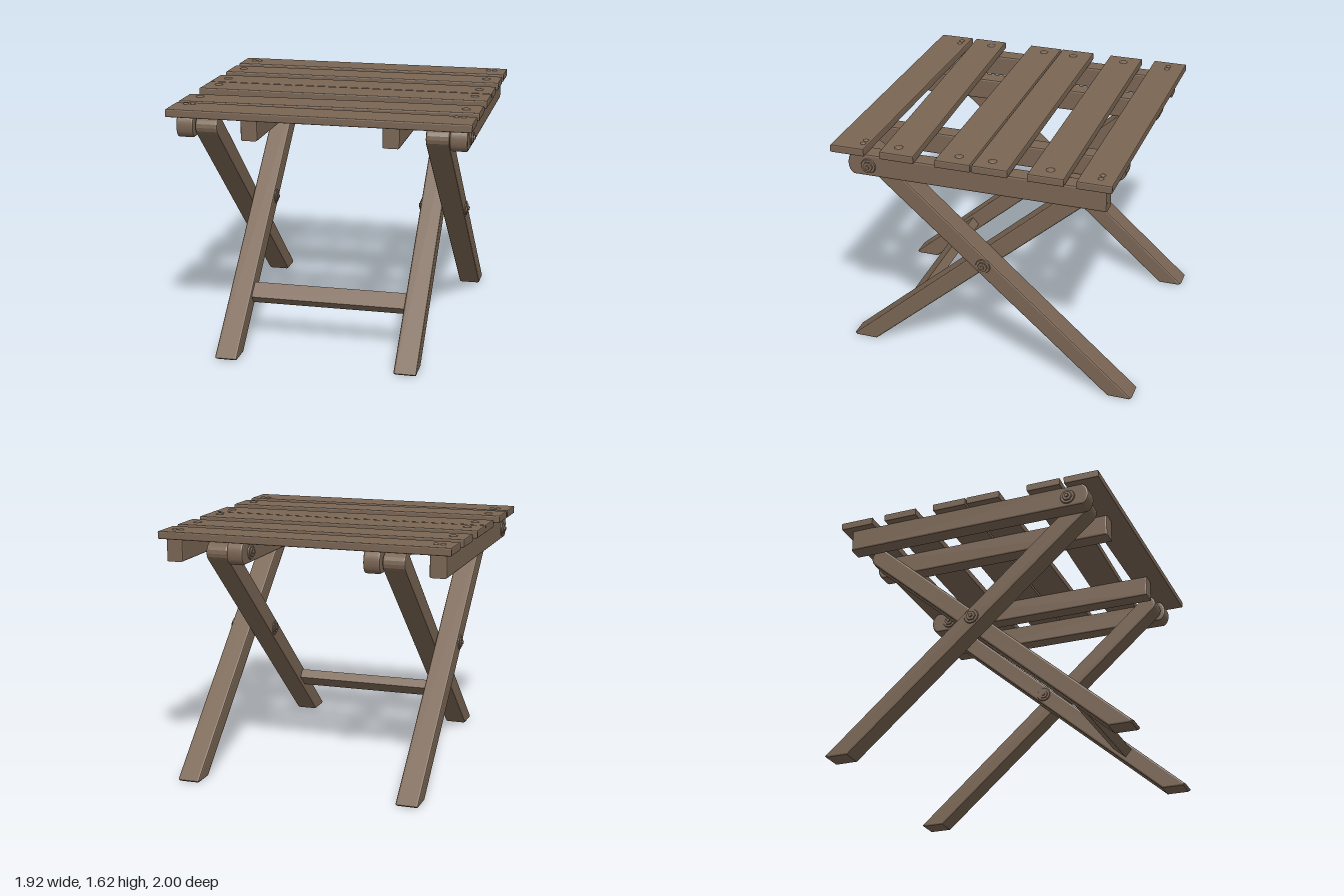
import * as THREE from 'three';

export function createModel() {
  const stool = new THREE.Group();
  stool.name = 'foldingStool';
  const wood = new THREE.MeshStandardMaterial({ color: 0x796553 });
  wood.name = 'brownWood';

  const add = (geometry, name) => {
    const mesh = new THREE.Mesh(geometry, wood);
    mesh.name = name;
    stool.add(mesh);
    return mesh;
  };

  // Extrudes an outline with softened edges, keeping its outer size
  const plank = (shape, depth, bevel) => new THREE.ExtrudeGeometry(shape, {
    depth: depth - 2 * bevel, bevelEnabled: true, bevelThickness: bevel, bevelSize: bevel,
    bevelOffset: -bevel, bevelSegments: 2, curveSegments: 8,
  }).translate(0, 0, bevel);

  // Outline in (z, y), running across x0..x1
  const sidePlank = (shape, x0, x1, bevel) =>
    plank(shape, x1 - x0, bevel).rotateY(-Math.PI / 2).translate(x1, 0, 0);

  // Seat slats: back and front edge at the -x end, then at the +x end
  const slats = [
    [-0.885, -0.66, -0.865, -0.645],
    [-0.57, -0.342, -0.57, -0.342],
    [-0.218, 0.01, -0.218, 0.01],
    [0.02, 0.247, 0.02, 0.247],
    [0.438, 0.662, 0.385, 0.608],
    [0.69, 0.92, 0.712, 0.935],
  ];
  slats.forEach(([a, b, c, d], i) => {
    const shape = new THREE.Shape([
      new THREE.Vector2(-0.96, a), new THREE.Vector2(0.96, c),
      new THREE.Vector2(0.96, d), new THREE.Vector2(-0.96, b),
    ]);
    add(plank(shape, 0.052, 0.008).rotateX(Math.PI / 2).translate(0, 1.61, 0), 'slat');

    // Domed screw heads: pairs on the end slats, single ones between
    const ends = i === 0 || i === 5;
    const z = [-0.775, -0.46, -0.095, 0.12, 0.515, 0.745][i];
    const r = ends ? 0.018 : 0.028;
    for (const side of [-1, 1]) {
      for (const x of ends ? [0.838, 0.882] : [0.865]) {
        const head = add(new THREE.SphereGeometry(r, 14, 5, 0, Math.PI * 2, 0, Math.PI / 2), 'slatScrew');
        head.scale.y = 0.01 / r;
        head.position.set(side * x, 1.609, z);
      }
    }
  });

  // Seat rail outline: rounded at the pivot end, square at the other
  const railShape = (dir) => {
    const s = new THREE.Shape();
    s.moveTo(-0.825 * dir, 1.41);
    s.lineTo(0.8 * dir, 1.41);
    s.quadraticCurveTo(0.838 * dir, 1.43, 0.838 * dir, 1.482);
    s.quadraticCurveTo(0.838 * dir, 1.535, 0.8 * dir, 1.557);
    s.lineTo(-0.825 * dir, 1.557);
    s.closePath();
    return s;
  };

  // Leg outline: flat foot, round top; dir is the z side of the top
  const slope = 0.716, half = 0.0625;
  const legShape = (dir) => {
    const top = new THREE.Vector2(0.748, 1.478);
    const points = [[-0.84, 0], [-0.985, 0], [-1, 0.012]].map(([z, y]) => new THREE.Vector2(z, y));
    for (let i = 0; i <= 8; i++) {
      const a = slope + Math.PI / 2 - (i / 8) * Math.PI;
      points.push(new THREE.Vector2(top.x + half * Math.cos(a), top.y + half * Math.sin(a)));
    }
    points.forEach((p) => { p.x *= dir; });
    return new THREE.Shape(points);
  };

  // Bolt: washer, hexagonal nut and pin, pointing along x
  const bolt = (x, y, z, dir, reach) => {
    const g = new THREE.Group();
    g.name = 'bolt';
    [[0.05, 0.3, 20], [0.035, 0.65, 6], [0.014, 1, 10]].forEach(([r, part, sides], i) => {
      const h = reach * part;
      const m = new THREE.Mesh(new THREE.CylinderGeometry(r * 0.92, r, h, sides), wood);
      m.name = ['washer', 'nut', 'pin'][i];
      m.position.y = h / 2;
      g.add(m);
    });
    g.rotation.z = -dir * Math.PI / 2;
    g.position.set(x, y, z);
    stool.add(g);
  };

  // Rails, legs and bolts, mirrored to both sides
  for (const side of [-1, 1]) {
    const span = (a, b) => (side > 0 ? [a, b] : [-b, -a]);
    add(sidePlank(railShape(1), ...span(0.81, 0.922), 0.012), 'outerRail');
    add(sidePlank(railShape(-1), ...span(0.395, 0.505), 0.012), 'innerRail');
    add(sidePlank(legShape(1), ...span(0.66, 0.806), 0.012), 'outerLeg');
    add(sidePlank(legShape(-1), ...span(0.51, 0.656), 0.012), 'innerLeg');
    bolt(side * 0.921, 1.48, 0.7, side, 0.03);
    bolt(side * 0.396, 1.48, -0.7, -side, 0.03);
    bolt(side * 0.805, 0.82, 0, side, 0.026);
    bolt(side * 0.511, 0.82, 0, -side, 0.022);
    // Pivot pins through the gap between leg and rail
    for (const [x, z] of [[0.81, 0.7], [0.507, -0.7]]) {
      const pin = add(new THREE.CylinderGeometry(0.02, 0.02, 0.05, 10), 'pivotPin');
      pin.rotation.z = Math.PI / 2;
      pin.position.set(side * x, 1.48, z);
    }
  }

  // Stretcher between the inner legs, tilted with them
  const bar = new THREE.Shape([
    new THREE.Vector2(-0.058, -0.033), new THREE.Vector2(0.058, -0.033),
    new THREE.Vector2(0.058, 0.033), new THREE.Vector2(-0.058, 0.033),
  ]);
  const stretcher = add(sidePlank(bar, -0.515, 0.515, 0.006), 'stretcher');
  stretcher.rotation.x = slope;
  stretcher.position.set(0, 0.32, 0.57);

  return stool;
}
